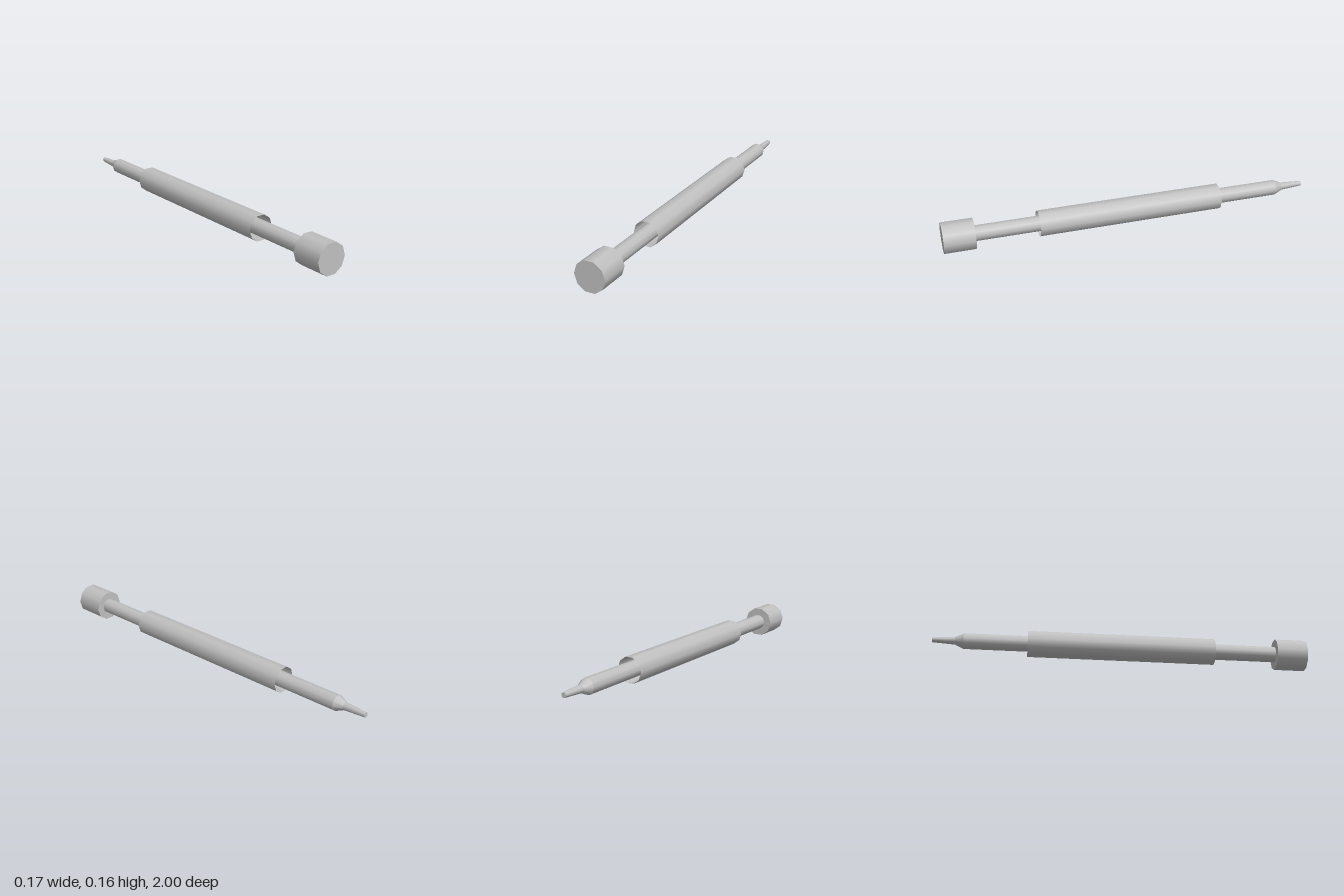
import * as THREE from 'three';

const SIDES = 10;
const AXIS_Y = 0.0793; // height of the long axis, so the head rests on y = 0

export function createModel() {
  const group = new THREE.Group();
  const steel = new THREE.MeshStandardMaterial({ color: 0xc0c0c0 });
  steel.name = 'steel grey';
  const sleeveSteel = steel.clone(); // same grey, seen from inside as well
  sleeveSteel.side = THREE.DoubleSide;

  // Ten-sided section along z, from the front end to the back end
  function section(name, zFront, zBack, rFront, rBack, open = false, material = steel) {
    const geometry = new THREE.CylinderGeometry(
      rFront, rBack, zFront - zBack, SIDES, 1, open, Math.PI / 2);
    geometry.rotateX(Math.PI / 2);
    const mesh = new THREE.Mesh(geometry, material);
    mesh.name = name;
    mesh.position.set(0, AXIS_Y, (zFront + zBack) / 2);
    group.add(mesh);
  }

  // Solid head at the front
  section('head', 1, 0.835, 0.0834, 0.0834);

  // Shaft running through the sleeve into the head
  section('shaft', 0.835, -0.835, 0.042, 0.042, true);

  // Hollow sleeve, open at both ends
  section('sleeve', 0.5, -0.5, 0.07, 0.07, true, sleeveSteel);

  // Shoulder and slim tapered tip at the back
  section('shoulder', -0.835, -0.88, 0.042, 0.021, true);
  section('tip', -0.88, -1, 0.021, 0.0135);

  return group;
}
